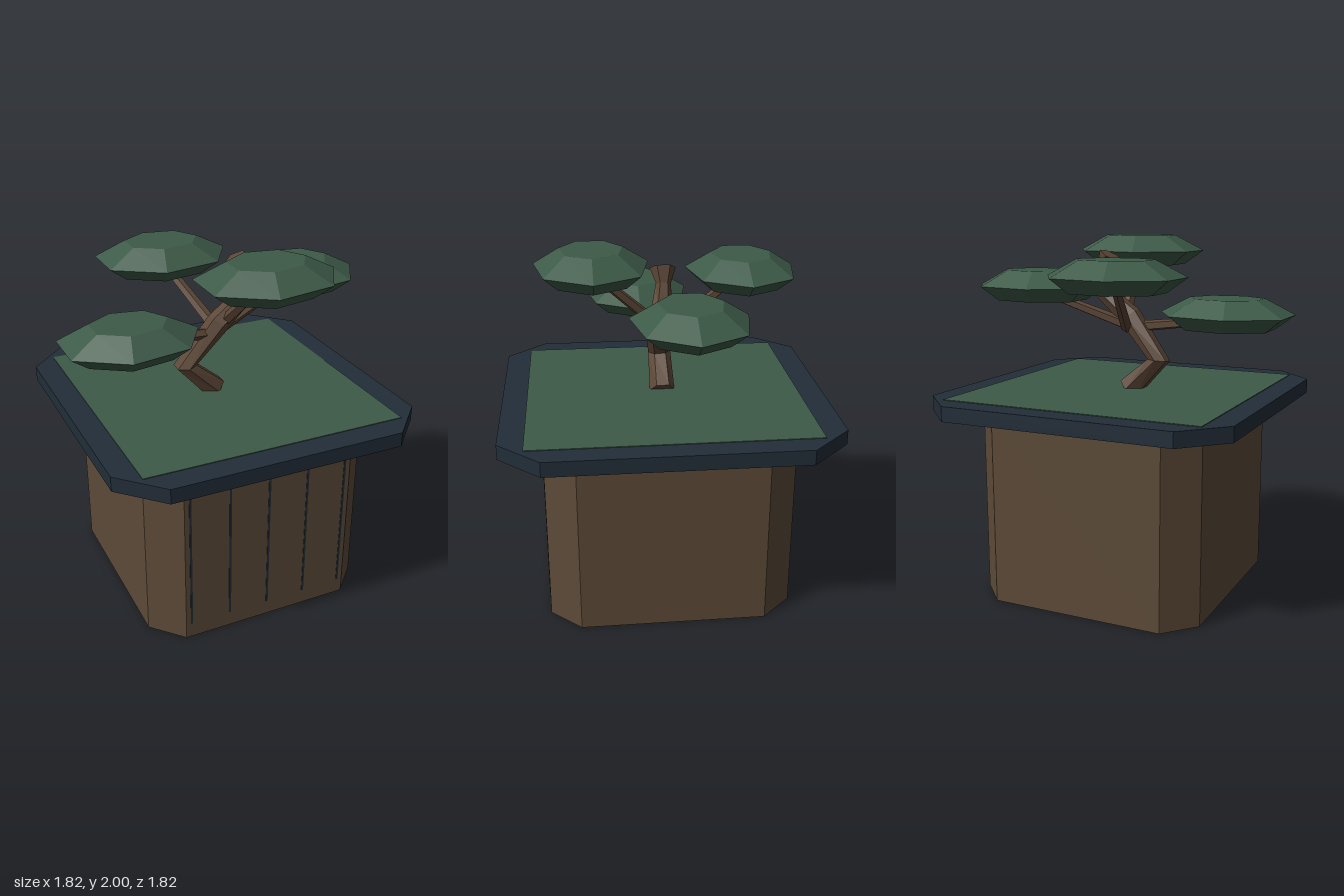
import * as THREE from 'three';

const material = (name, color) => {
  const m = new THREE.MeshStandardMaterial({ color });
  m.name = name;
  return m;
};

// Gives every face its own normal
function faceted(geometry) {
  const g = geometry.index ? geometry.toNonIndexed() : geometry;
  g.computeVertexNormals();
  return g;
}

// Rectangular block with cut corners, standing on y = 0
function chamferedBlock(hx, hz, cx, cz, height) {
  const corners = [
    [hx, -hz + cz], [hx, hz - cz], [hx - cx, hz], [-hx + cx, hz],
    [-hx, hz - cz], [-hx, -hz + cz], [-hx + cx, -hz], [hx - cx, -hz],
  ];
  const shape = new THREE.Shape(corners.map(([x, y]) => new THREE.Vector2(x, y)));
  const g = new THREE.ExtrudeGeometry(shape, { depth: height, bevelEnabled: false });
  return g.rotateX(-Math.PI / 2);
}

// Faceted limb through rings of [x, y, z, radius], closed at both ends
function limb(rings, sides) {
  const points = rings.map(([x, y, z]) => new THREE.Vector3(x, y, z));
  const last = points.length - 1;
  const position = [];
  const index = [];
  points.forEach((p, i) => {
    const t = new THREE.Vector3();
    if (i > 0) t.add(p.clone().sub(points[i - 1]).normalize());
    if (i < last) t.add(points[i + 1].clone().sub(p).normalize());
    t.normalize();
    const u = new THREE.Vector3(0, 0, 1).addScaledVector(t, -t.z).normalize();
    const v = t.clone().cross(u);
    for (let k = 0; k < sides; k++) {
      const a = (k / sides) * Math.PI * 2;
      const q = p.clone()
        .addScaledVector(u, Math.cos(a) * rings[i][3])
        .addScaledVector(v, Math.sin(a) * rings[i][3]);
      position.push(q.x, q.y, q.z);
    }
  });
  const startCentre = position.length / 3;
  position.push(...points[0].toArray(), ...points[last].toArray());
  for (let k = 0; k < sides; k++) {
    const n = (k + 1) % sides;
    for (let i = 0; i < last; i++) {
      const a = i * sides + k, b = i * sides + n;
      index.push(a, b, a + sides, b, b + sides, a + sides);
    }
    index.push(startCentre, n, k);
    index.push(startCentre + 1, last * sides + k, last * sides + n);
  }
  const g = new THREE.BufferGeometry();
  g.setAttribute('position', new THREE.Float32BufferAttribute(position, 3));
  g.setIndex(index);
  return faceted(g);
}

export function createModel() {
  const model = new THREE.Group();
  model.name = 'bonsaiPlanter';

  const wood = material('planter wood', 0x5c4a38);
  const slate = material('dark slate', 0x222d38);
  const gold = material('gold trim', 0xd4941e);
  const green = material('foliage green', 0x3d5a48);
  const bark = material('bark brown', 0x5c4636);

  const add = (name, geometry, mat, x = 0, y = 0, z = 0, parent = model) => {
    const mesh = new THREE.Mesh(geometry, mat);
    mesh.name = name;
    mesh.position.set(x, y, z);
    parent.add(mesh);
    return mesh;
  };

  // Planter: body, gold band, overhanging rim and moss
  const cx = -0.01;
  add('planterBody', chamferedBlock(0.655, 0.685, 0.16, 0.17, 1.03), wood, cx, 0);
  add('goldBand', chamferedBlock(0.685, 0.715, 0.14, 0.15, 0.032), gold, cx, 1.03);
  add('rim', chamferedBlock(0.875, 0.91, 0.22, 0.225, 0.083), slate, cx, 1.062);
  add('moss', new THREE.BoxGeometry(1.485, 0.006, 1.545), green, cx, 1.146, 0);

  // Dark plank grooves on the front
  for (let i = -2; i <= 2; i++) {
    add('plankGroove', new THREE.BoxGeometry(0.012, 0.88, 0.006), slate, cx + i * 0.231, 0.53, 0.685);
  }

  // Tree
  const tree = new THREE.Group();
  tree.name = 'tree';
  model.add(tree);

  // Crooked trunk ending in a flared knob
  add('trunk', limb([
    [-0.02, 1.14, 0, 0.072],
    [-0.2, 1.315, 0, 0.065],
    [-0.01, 1.55, 0.03, 0.065],
    [0.18, 1.71, 0.02, 0.055],
    [0.145, 1.82, 0.01, 0.04],
    [0.105, 1.895, 0.01, 0.07],
  ], 6), bark, 0, 0, 0, tree);

  // Seven-sided oval foliage pad, flat on top and bottom
  const profile = [[0, 0], [0.71, 0], [1, 0.08], [0.55, 0.17], [0, 0.17]];
  const padGeometry = faceted(
    new THREE.LatheGeometry(profile.map(([r, y]) => new THREE.Vector2(r, y)), 7, Math.PI / 2)
      .scale(0.395, 1, 0.318)
  );

  // Each pad rests on its own branch: pad base centre and branch root
  const pads = [
    { name: 'right', pad: [-0.56, 1.5, 0.11], root: [0, 1.49, 0.02] },
    { name: 'back', pad: [-0.145, 1.73, -0.46], root: [0, 1.49, 0] },
    { name: 'front', pad: [0.095, 1.83, 0.39], root: [0.02, 1.54, 0.02] },
    { name: 'left', pad: [0.51, 1.64, -0.095], root: [-0.02, 1.495, 0.02] },
  ];
  for (const { name, pad, root } of pads) {
    add(name + 'FoliagePad', padGeometry, green, ...pad, tree);
    const tip = [pad[0], pad[1] + 0.05, pad[2]];
    add(name + 'Branch', limb([[...root, 0.034], [...tip, 0.024]], 5), bark, 0, 0, 0, tree);
  }

  return model;
}
